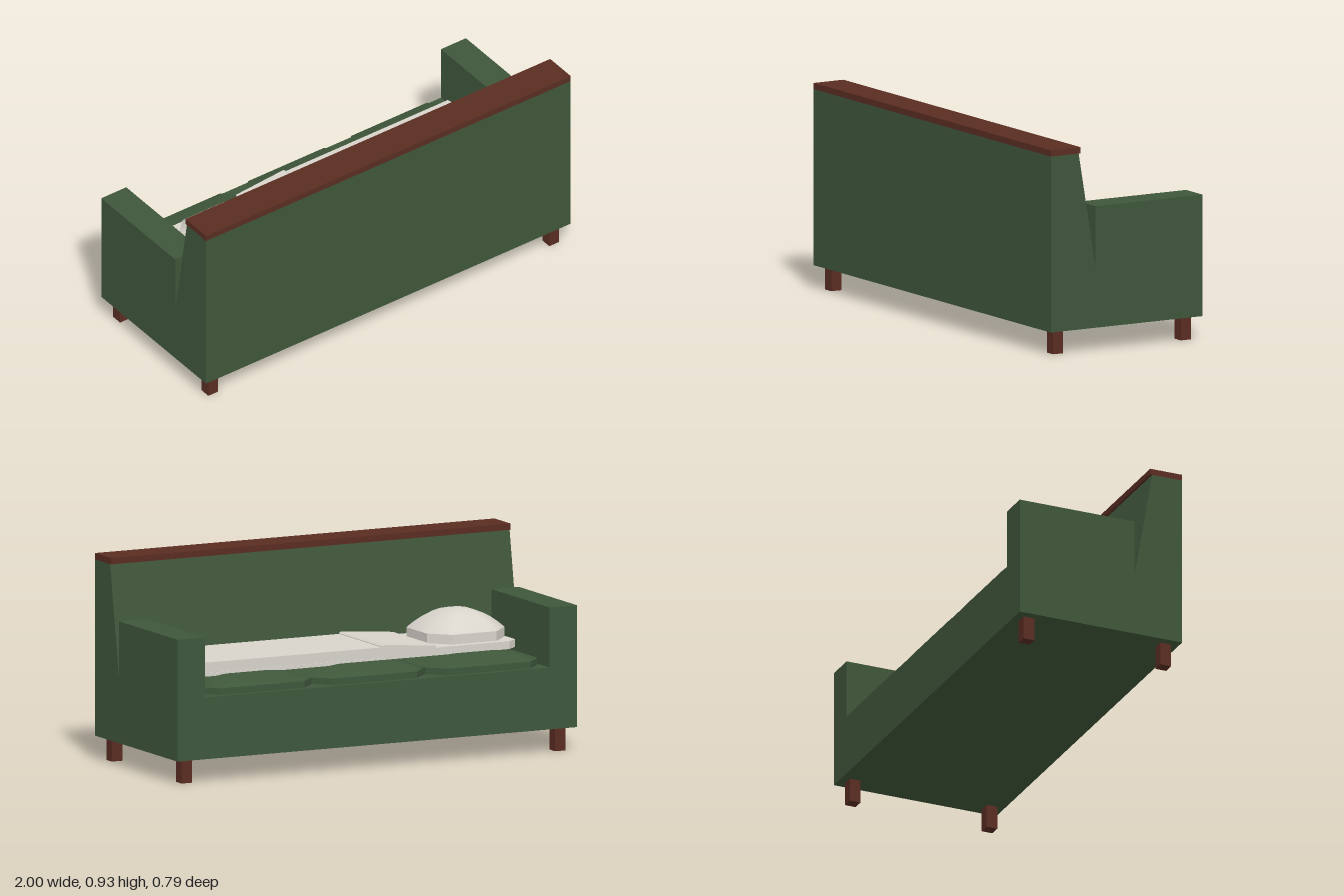
import * as THREE from 'three';

const GREEN = new THREE.MeshStandardMaterial({ color: 0x3f573b });
const BROWN = new THREE.MeshStandardMaterial({ color: 0x5a2d22 });
const WHITE = new THREE.MeshStandardMaterial({ color: 0xd8d4cc });

export function createModel() {
  const group = new THREE.Group();
  const add = (name, geometry, material) => {
    const mesh = new THREE.Mesh(geometry, material);
    mesh.name = name;
    group.add(mesh);
    return mesh;
  };
  // box given by its limits on each axis
  const box = (name, [x0, x1], [y0, y1], [z0, z1], material) =>
    add(name, new THREE.BoxGeometry(x1 - x0, y1 - y0, z1 - z0), material)
      .position.set((x0 + x1) / 2, (y0 + y1) / 2, (z0 + z1) / 2);
  const outline = (points) => new THREE.Shape(points.map((p) => new THREE.Vector2(...p)));
  const extrude = (points, depth) =>
    new THREE.ExtrudeGeometry(outline(points), { depth, bevelEnabled: false });

  // seat base and sloping backrest share one side profile, drawn as (-z, y)
  const body = extrude([
    [-0.395, 0.107], [0.395, 0.107], [0.395, 0.385],
    [-0.163, 0.385], [-0.25, 0.9], [-0.395, 0.9],
  ], 2);
  body.rotateY(Math.PI / 2).translate(-1, 0, 0);
  add('seatAndBackrest', body, GREEN);
  box('backrestTrim', [-1, 1], [0.9, 0.928], [0.24, 0.395], BROWN);

  // armrests and legs
  for (const side of [-1, 1]) {
    const label = side > 0 ? 'left' : 'right';
    const arm = [0.863 * side, side].sort((a, b) => a - b);
    box(label + 'Armrest', arm, [0.385, 0.655], [-0.395, 0.163], GREEN);
    for (const z of [-0.333, 0.333]) {
      const x = 0.935 * side;
      box(label + 'Leg', [x - 0.026, x + 0.026], [0, 0.107], [z - 0.026, z + 0.026], BROWN);
    }
  }

  // three seat cushions
  for (const x of [-0.573, -0.005, 0.56]) {
    add('seatCushion', cushion(0.565, 0.57, 0.075, 0.03, 0.05), GREEN)
      .position.set(x, 0.385, -0.085);
  }

  // sheet with cut corners at the head end, drawn as (x, -z)
  const sheet = extrude([
    [-0.8, -0.14], [-0.76, -0.18], [0.77, -0.18],
    [0.77, 0.225], [-0.75, 0.225], [-0.8, 0.185],
  ], 0.035);
  sheet.rotateX(-Math.PI / 2).translate(0, 0.452, 0);
  add('sheet', sheet, WHITE);

  // blanket wrapped round the foot end, drawn as (x, y)
  const blanket = extrude([
    [-0.12, 0.487], [0.77, 0.487], [0.77, 0.462], [-0.12, 0.462], [-0.12, 0.447],
    [0.78, 0.447], [0.79, 0.455], [0.79, 0.502], [0.78, 0.51], [-0.12, 0.51],
  ], 0.41);
  blanket.translate(0, 0, -0.23);
  add('blanket', blanket, WHITE);

  // turned-back top of the blanket
  const fold = extrude([
    [-0.38, 0.485], [-0.11, 0.485], [-0.11, 0.513], [-0.12, 0.52], [-0.38, 0.498],
  ], 0.415);
  fold.translate(0, 0, -0.232);
  add('blanketFold', fold, WHITE);

  // pillow
  add('pillow', cushion(0.39, 0.365, 0.085, 0.045, 0.09), WHITE).position.set(-0.597, 0.485, -0.003);

  return group;
}

// Octagonal cushion: upright rim of height lip, with a smooth dome on top
function cushion(width, depth, cut, lip, dome) {
  const w = width / 2, d = depth / 2;
  const ring = [
    [w, d - cut], [w - cut, d], [cut - w, d], [-w, d - cut],
    [-w, cut - d], [cut - w, -d], [w - cut, -d], [w, cut - d],
  ];
  const positions = [], indices = [], n = ring.length;
  const addRing = (scale, y) => {
    for (const [x, z] of ring) positions.push(x * scale, y, z * scale);
  };
  const bridge = (a, b) => {
    for (let i = 0; i < n; i++) {
      const j = (i + 1) % n;
      indices.push(a + i, b + i, a + j, a + j, b + i, b + j);
    }
  };

  // rim, each face with its own corners so that it stays flat
  for (let i = 0; i < n; i++) {
    const a = ring[i], b = ring[(i + 1) % n], s = positions.length / 3;
    positions.push(a[0], 0, a[1], b[0], 0, b[1], a[0], lip, a[1], b[0], lip, b[1]);
    indices.push(s, s + 2, s + 1, s + 1, s + 2, s + 3);
  }

  // dome rings shrinking towards the centre
  const start = positions.length / 3, steps = 8;
  for (let k = 0; k <= steps; k++) {
    const scale = Math.max(Math.cos((k / steps) * Math.PI / 2), 0.001);
    addRing(scale, lip + dome * (1 - scale ** 2.2));
    if (k > 0) bridge(start + (k - 1) * n, start + k * n);
  }

  // underside
  const base = positions.length / 3;
  addRing(1, 0);
  for (let i = 1; i < n - 1; i++) indices.push(base, base + i, base + i + 1);

  const geometry = new THREE.BufferGeometry();
  geometry.setAttribute('position', new THREE.Float32BufferAttribute(positions, 3));
  geometry.setIndex(indices);
  geometry.computeVertexNormals();
  return geometry;
}
